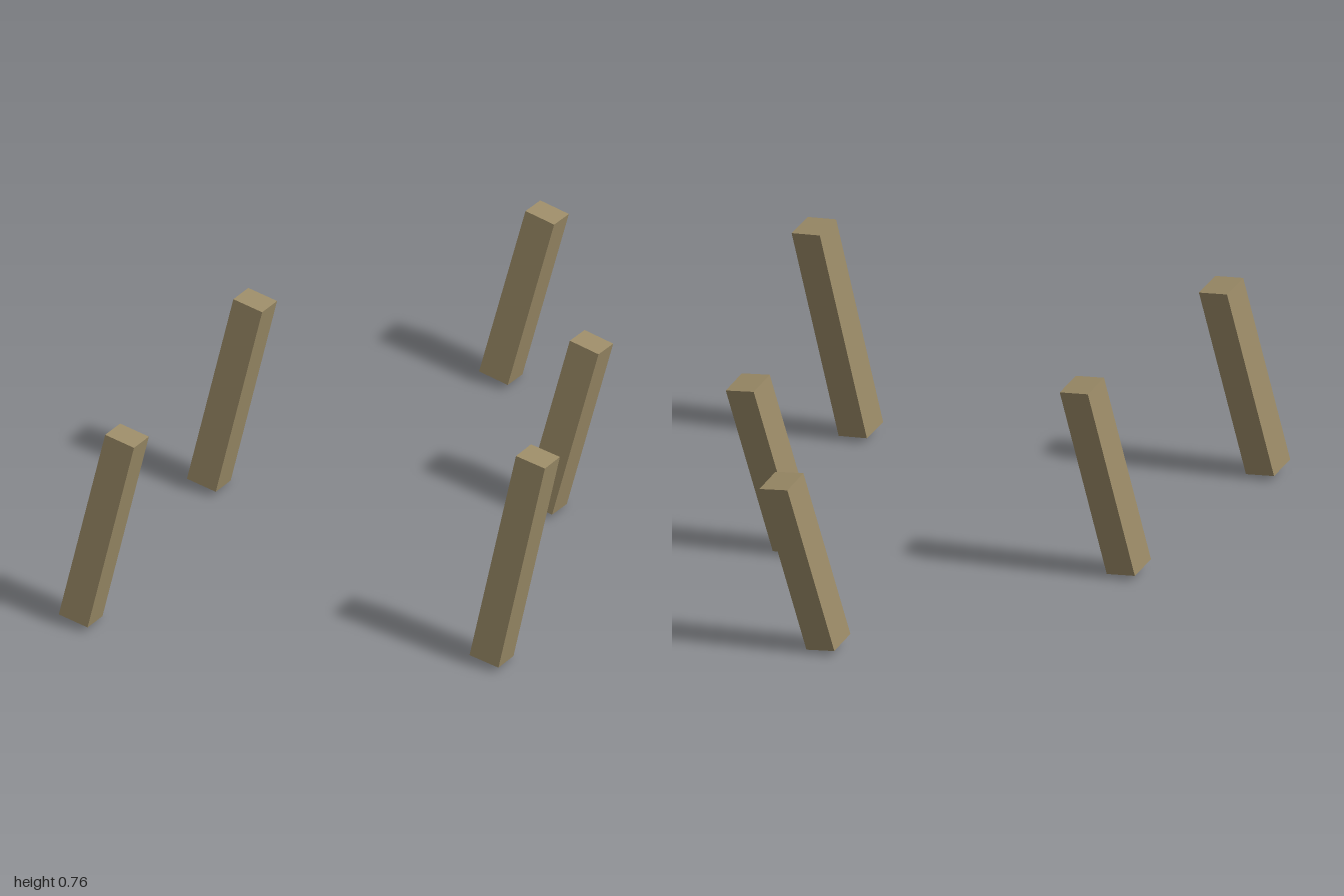
import * as THREE from 'three';

export function createModel() {
  const group = new THREE.Group();
  const wood = new THREE.MeshStandardMaterial({ color: 0x9c8c68 });
  wood.name = 'weathered wood';

  const halfDiagonal = 0.075; // square section, one edge facing the front
  const lean = 0.155;         // every stake leans this far toward +x
  const side = halfDiagonal * Math.SQRT2;
  const baseY = 0.02;

  // [base x, z, height of the top centre]
  const stakes = [
    [-0.928, 0.176, 0.672],
    [-0.302, -0.465, 0.672],
    [0.254, 0.789, 0.746],
    [0.683, -0.02, 0.599],
    [0.773, -0.79, 0.599],
  ];

  stakes.forEach(([x, z, topY], i) => {
    const rise = topY - baseY;
    const length = Math.hypot(lean, rise);
    // Turn the post on its own axis, stand it on its base, then lean it
    const geometry = new THREE.BoxGeometry(side, length, side)
      .rotateY(Math.PI / 4)
      .translate(0, length / 2, 0);
    const stake = new THREE.Mesh(geometry, wood);
    stake.name = `leaningStake${i + 1}`;
    stake.rotation.z = -Math.atan2(lean, rise);
    stake.position.set(x, baseY, z);
    group.add(stake);
  });

  return group;
}
